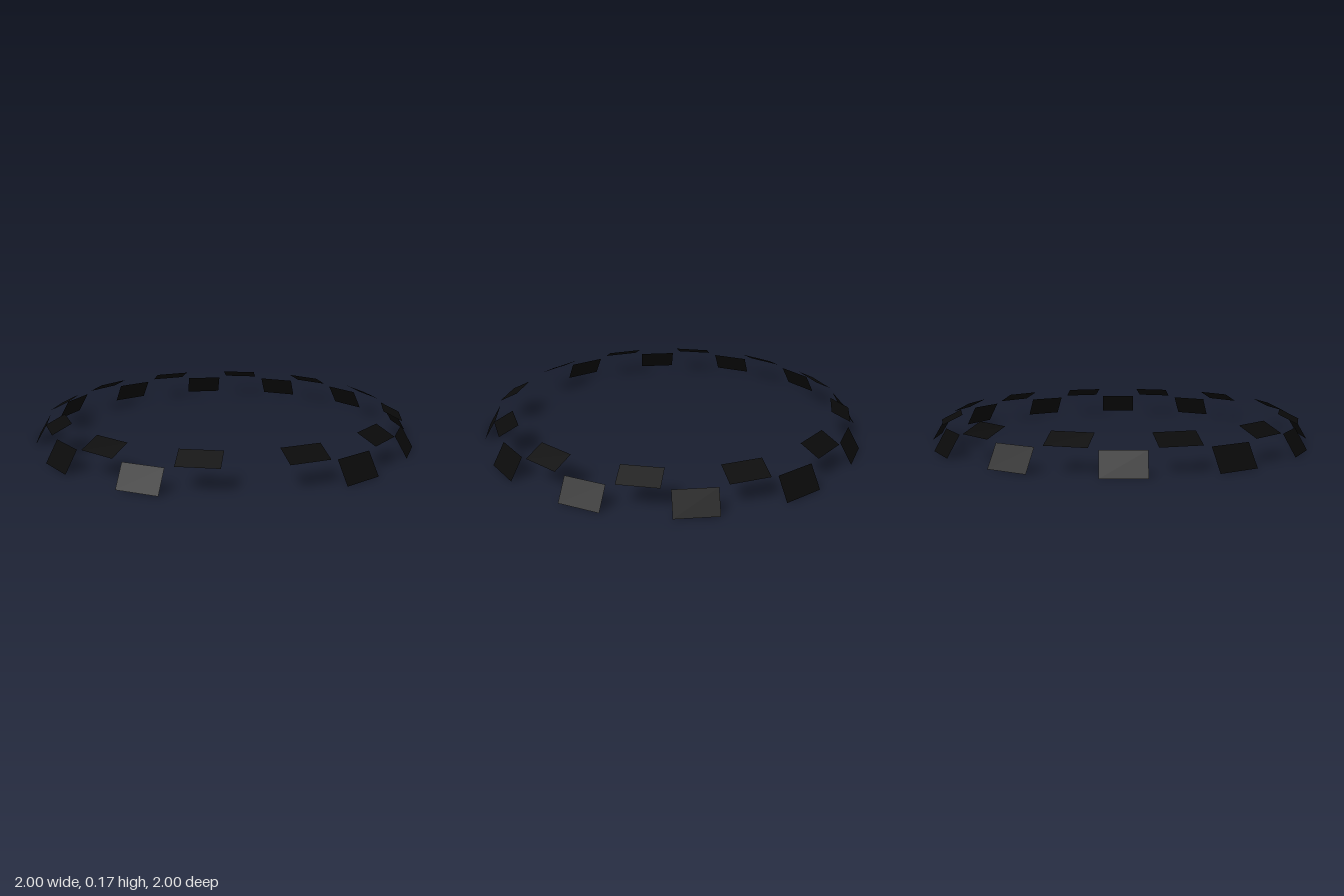
import * as THREE from 'three';

const rad = THREE.MathUtils.degToRad;

// Ring of twelve thin rectangular panels leaning inwards like a shallow dome
function panelRing(name, material, o) {
  const ring = new THREE.Group();
  ring.name = name;
  const rise = o.y1 - o.y0;
  const run = o.outer - o.inner;
  const geometry = new THREE.PlaneGeometry(o.width, Math.hypot(rise, run));
  const radius = (o.outer + o.inner) / 2;
  for (let i = 0; i < 12; i++) {
    if (i === o.missing) continue;
    const angle = rad(o.start + i * 30);
    const panel = new THREE.Mesh(geometry, material);
    panel.name = name + 'Panel';
    panel.position.set(Math.sin(angle) * radius, (o.y0 + o.y1) / 2, Math.cos(angle) * radius);
    panel.rotation.set(-Math.atan2(run, rise), angle + rad(o.twist), 0, 'YXZ');
    ring.add(panel);
  }
  return ring;
}

export function createModel() {
  const model = new THREE.Group();
  model.name = 'panelRings';
  const black = new THREE.MeshStandardMaterial({ color: 0x0a0a0a, side: THREE.DoubleSide });

  // Lower, steeper row with one panel left out at the front
  model.add(panelRing('lowerRow', black, {
    y0: 0, y1: 0.108, outer: 1.007, inner: 0.943, width: 0.208,
    start: -15.7, twist: 0, missing: 11,
  }));

  // Upper, flatter row, staggered by half a step
  model.add(panelRing('upperRow', black, {
    y0: 0.118, y1: 0.167, outer: 0.952, inner: 0.853, width: 0.2,
    start: -0.6, twist: -1.2, missing: -1,
  }));

  return model;
}
